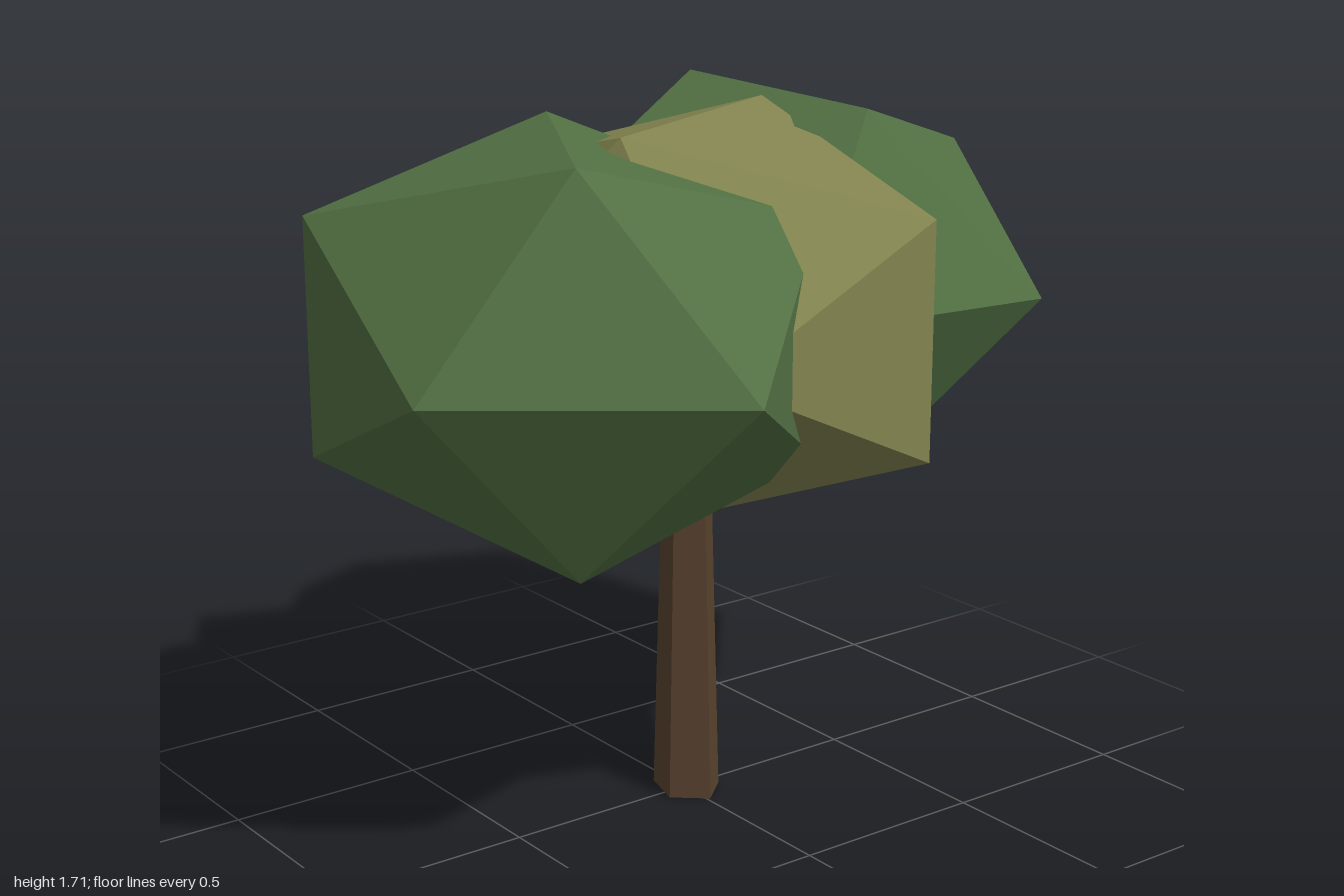
import * as THREE from 'three';

const flat = (name, color) => {
  const m = new THREE.MeshStandardMaterial({ color, flatShading: true });
  m.name = name;
  return m;
};

export function createModel() {
  const tree = new THREE.Group();
  tree.name = 'tree';

  const green = flat('leaf green', 0x527043);
  const olive = flat('leaf olive', 0x82844f);
  const brown = flat('bark brown', 0x59432f);

  // Trunk: tapered five-sided post running up into the crown
  const trunkGeo = new THREE.CylinderGeometry(0.06, 0.097, 1.2, 5);
  trunkGeo.scale(0.84, 1, 1);
  const trunk = new THREE.Mesh(trunkGeo, brown);
  trunk.name = 'trunk';
  trunk.position.set(0.008, 0.6, 0.003);
  tree.add(trunk);

  // Crown: three icosahedra, each turned about y and then squashed
  const clump = (name, material, x, z, turn, sx, sz) => {
    const geo = new THREE.IcosahedronGeometry(1, 0);
    geo.rotateY(-THREE.MathUtils.degToRad(turn));
    geo.scale(sx, 0.538, sz);
    const mesh = new THREE.Mesh(geo, material);
    mesh.name = name;
    mesh.position.set(x, 1.257, z);
    tree.add(mesh);
  };
  clump('rightFoliage', green, -0.42, 0.1, 123, 0.65, 0.75);
  clump('middleFoliage', olive, 0.01, 0.028, 158, 0.662, 0.775);
  clump('leftFoliage', green, 0.43, -0.195, 95, 0.668, 0.745);

  return tree;
}
